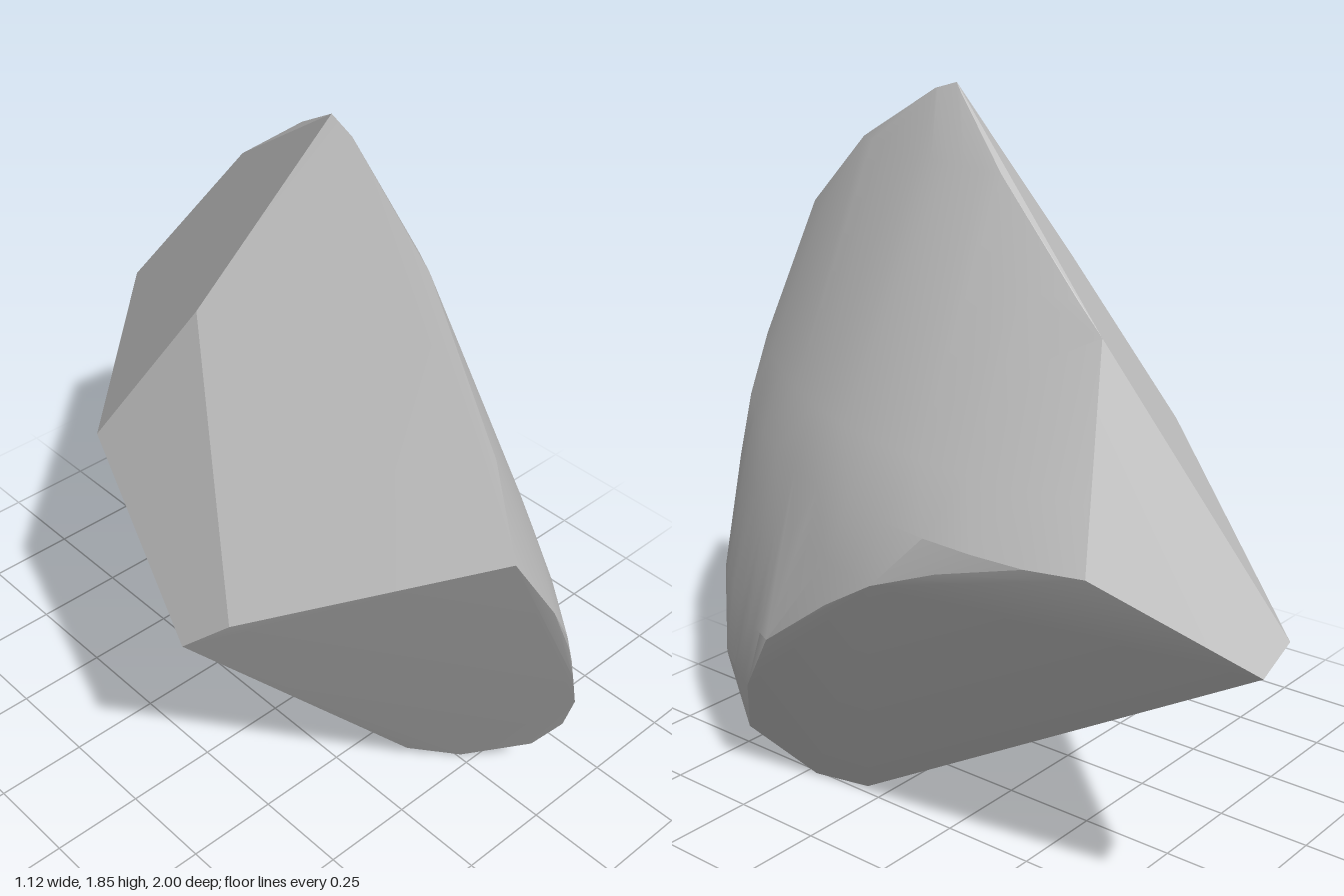
import * as THREE from 'three';
import { ConvexGeometry } from 'three/addons/geometries/ConvexGeometry.js';
import { toCreasedNormals } from 'three/addons/utils/BufferGeometryUtils.js';

// Corners of the flat, broken sides
const CORNERS = [
  [0.055, 1.85, 0.12],   // peak
  [-0.28, 1.33, 1.0],    // front tip
  [-0.53, 0.94, 0.44], [-0.56, 0.81, 0.31],   // outer right edge
  [-0.23, 1.41, -0.01], [-0.36, 1.0, -0.25],  // ridge on the back
  [0.345, 0.84, -1.0], [0.4, 0.77, -0.975],   // rear tip
  [0.37, 1.4, -0.54], [0.54, 0.94, -0.63],    // small rear facet
  [0.34, 0.12, 0.64], [0.26, 0, 0.47], [0.237, 0.01, 0.3], [0.14, 0.04, 0.38], // foot
];

// Rows across the rounded side: height, front end (x, z), back end (x, z)
const ROWS = [
  [0.3, 0.31, 0.75, 0.42, 0.55],
  [0.5, 0.225, 0.835, 0.492, 0.39],
  [0.68, 0.13, 0.885, 0.537, 0.13],
  [0.78, 0.08, 0.91, 0.56, -0.04],
  [0.86, 0.035, 0.93, 0.562, -0.24],
  [0.93, 0, 0.945, 0.555, -0.48],
  [1.08, -0.1, 0.975, 0.49, -0.595],
  [1.33, -0.28, 1.0, 0.395, -0.555],
  [1.46, -0.195, 0.86, 0.34, -0.455],
  [1.68, -0.055, 0.53, 0.22, -0.15],
  [1.83, 0.04, 0.2, 0.075, 0.09],
];
const BULGE = 0.33;
const STEPS = 10;

export function createModel() {
  const points = CORNERS.map((p) => new THREE.Vector3(...p));

  // Rounded side: each row bows outwards as a parabola between its ends
  for (const [y, x1, z1, x2, z2] of ROWS) {
    for (let i = 0; i <= STEPS; i++) {
      const t = i / STEPS;
      const z = THREE.MathUtils.lerp(z1, z2, t);
      const x = THREE.MathUtils.lerp(x1, x2, t) + BULGE * (z1 - z) * (z - z2);
      points.push(new THREE.Vector3(x, y, z));
    }
  }

  // Smooth over the rounded side, sharp at the broken edges
  const geometry = toCreasedNormals(new ConvexGeometry(points), 0.22);
  const shard = new THREE.Mesh(geometry, new THREE.MeshStandardMaterial({ color: 0xcccccc }));
  shard.name = 'rockShard';

  const model = new THREE.Group();
  model.name = 'rockFragment';
  model.add(shard);
  return model;
}
